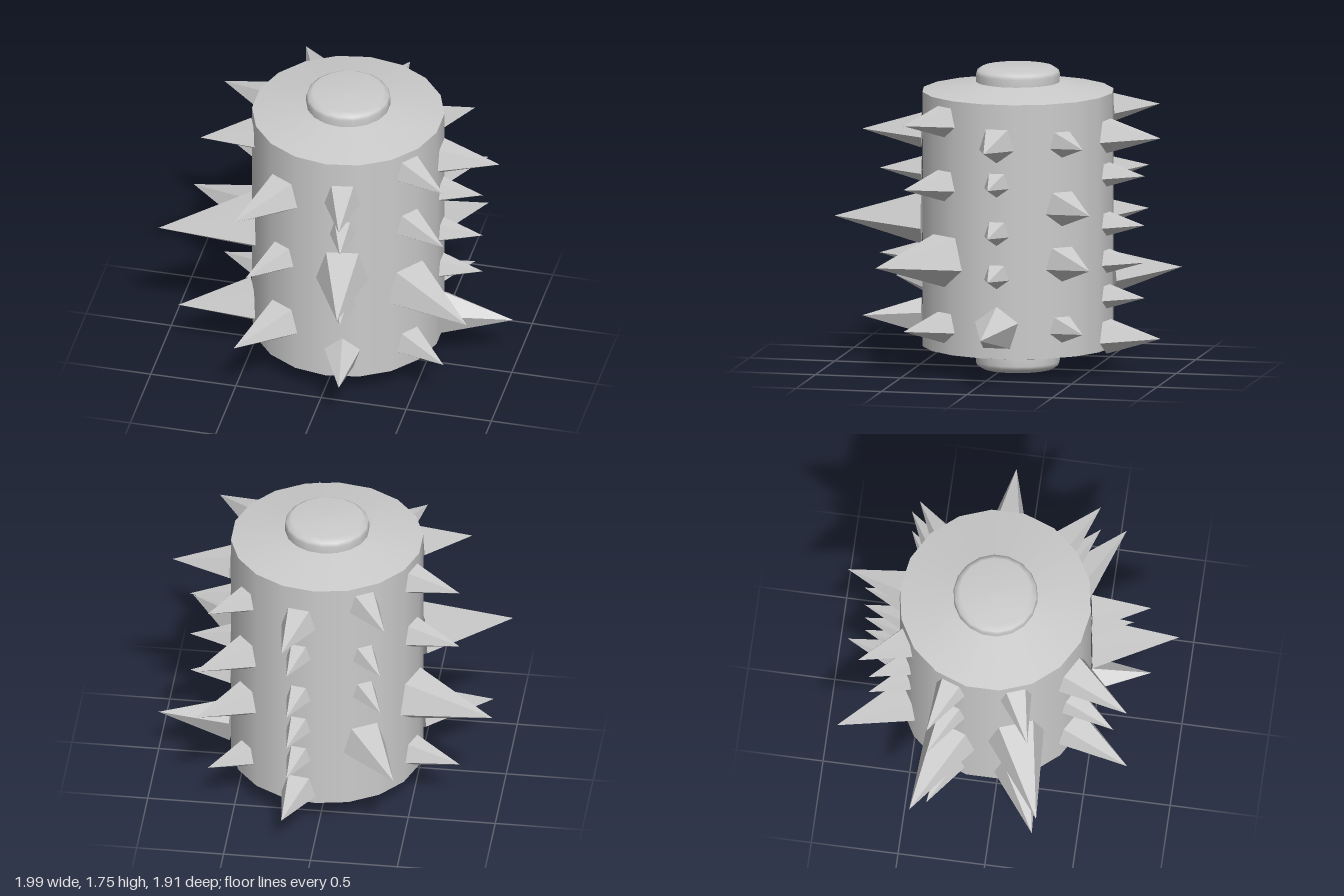
import * as THREE from 'three';

const SIDES = 18;
const BODY_RADIUS = 0.55;
const HEIGHT = 1.75;

// Columns of spikes around the drum: direction in degrees (from +x towards +z),
// then [height, length] for each spike.
const COLUMNS = [
  [0, [[1.38, 0.34], [1.15, 0.24], [0.87, 0.24], [0.62, 0.24], [0.31, 0.42, Math.PI]]],
  [37, [[1.49, 0.305], [1.12, 0.305], [0.69, 0.515], [0.3, 0.305]]],
  [80, [[1.38, 0.34], [1.155, 0.24], [0.875, 0.5], [0.665, 0.24], [0.3, 0.34, Math.PI]]],
  [120, [[1.31, 0.4], [0.875, 0.3], [0.435, 0.4]]],
  [160, [[1.49, 0.3], [0.88, 0.54], [0.335, 0.425]]],
  [200, [[1.49, 0.3], [1.12, 0.3], [0.69, 0.51], [0.3, 0.3]]],
  [240, [[1.49, 0.3], [1.14, 0.235], [0.89, 0.235], [0.54, 0.43]]],
  [280, [[1.385, 0.335], [1.16, 0.235], [0.875, 0.235], [0.66, 0.235], [0.455, 0.235], [0.225, 0.335]]],
  [320, [[1.38, 0.26], [1.01, 0.345], [0.69, 0.345], [0.31, 0.26]]],
];

export function createModel() {
  const model = new THREE.Group();
  model.name = 'spikedDrum';
  const smooth = new THREE.MeshStandardMaterial({ color: 0xcccccc });
  const faceted = new THREE.MeshStandardMaterial({ color: 0xcccccc, flatShading: true });

  const lathe = (name, profile) => {
    const points = profile.map(([r, y]) => new THREE.Vector2(r, y));
    const mesh = new THREE.Mesh(new THREE.LatheGeometry(points, SIDES), smooth);
    mesh.name = name;
    model.add(mesh);
  };

  // Drum wall
  lathe('drumWall', [[BODY_RADIUS, 0.14], [BODY_RADIUS, 1.61]]);

  // Sloped ends and rounded hubs, the bottom mirroring the top
  const slope = [[BODY_RADIUS, 1.61], [0.2, 1.668]];
  const hub = [[0.24, 1.655], [0.242, 1.705], [0.235, 1.725], [0.205, 1.745], [0, HEIGHT]];
  const flip = (profile) => profile.map(([r, y]) => [r, HEIGHT - y]).reverse();
  lathe('topSlope', slope);
  lathe('topHub', hub);
  lathe('bottomSlope', flip(slope));
  lathe('bottomHub', flip(hub));

  // Five-sided spikes standing straight out of the wall
  COLUMNS.forEach(([degrees, spikes]) => {
    const column = new THREE.Group();
    column.name = 'spikeColumn';
    column.rotation.y = Math.PI / 2 - THREE.MathUtils.degToRad(degrees);
    spikes.forEach(([y, length, roll = 0]) => {
      const cone = new THREE.ConeGeometry(length * 0.316, length, 5);
      cone.rotateX(Math.PI / 2).rotateZ(roll);
      const spike = new THREE.Mesh(cone, faceted);
      spike.name = 'spike';
      spike.position.set(0, y, BODY_RADIUS + length / 2);
      column.add(spike);
    });
    model.add(column);
  });

  // The uneven spikes put the drum axis slightly off centre
  model.children.forEach((part) => {
    part.position.x = 0.021;
    part.position.z = -0.077;
  });
  return model;
}
